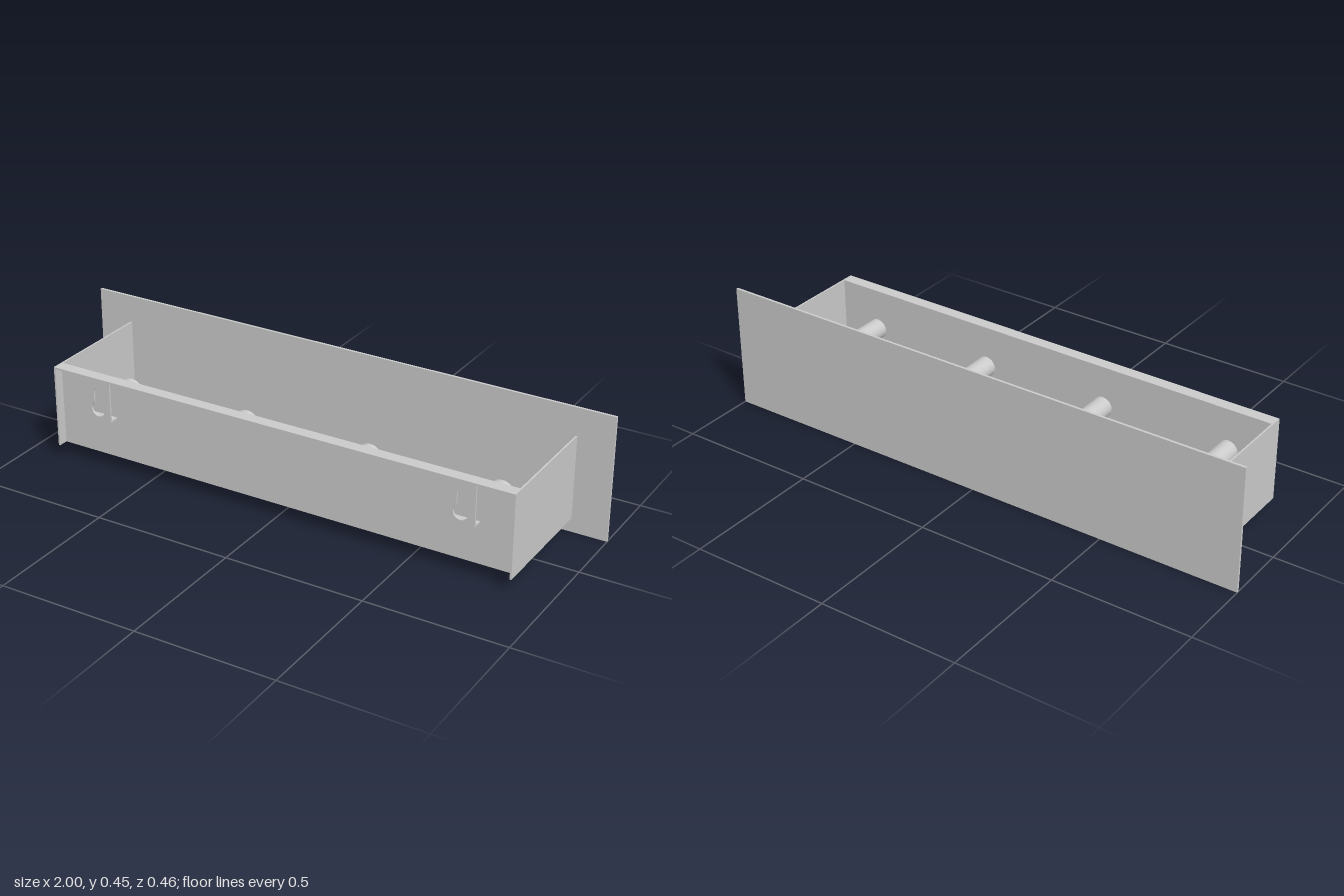
import * as THREE from 'three';

const T = 0.007; // sheet thickness

export function createModel() {
  const model = new THREE.Group();
  const material = new THREE.MeshStandardMaterial({ color: 0xcccccc });

  const add = (name, geometry) => {
    const mesh = new THREE.Mesh(geometry, material);
    mesh.name = name;
    model.add(mesh);
    return mesh;
  };
  // Box given by its min and max corners
  const box = (name, [x0, y0, z0], [x1, y1, z1]) =>
    add(name, new THREE.BoxGeometry(x1 - x0, y1 - y0, z1 - z0))
      .position.set((x0 + x1) / 2, (y0 + y1) / 2, (z0 + z1) / 2);

  // Large plate and the shallow tray behind it
  box('facePlate', [-1, 0, -0.229], [1, 0.45, -0.22]);
  box('mountingPanel', [-0.866, 0.05, 0.186], [0.866, 0.35 - T, 0.186 + T]);
  box('topFlange', [-0.866, 0.35 - T, 0.186], [0.866, 0.35, 0.229]);
  for (const s of [-1, 1]) {
    const xs = [0.866 * s, 0.872 * s].sort((a, b) => a - b);
    box('sideWall', [xs[0], 0.05, -0.22], [xs[1], 0.35, 0.229]);
  }

  // Hanging tabs with keyhole slots, folded back to the panel at the foot
  const tab = new THREE.Shape([
    [-0.05, 0.195], [0.05, 0.195], [0.05, 0.35 - T], [-0.05, 0.35 - T],
  ].map(([x, y]) => new THREE.Vector2(x, y)));
  const R = 0.027, r = 0.015, cy = 0.236;
  const a = Math.acos(r / R); // where the slot meets the round opening
  const keyhole = new THREE.Path();
  keyhole.absarc(0, 0.3, r, 0, Math.PI, false);
  keyhole.absarc(0, cy, R, Math.PI - a, 2 * Math.PI + a, false);
  keyhole.closePath();
  tab.holes.push(keyhole);
  for (const x of [-0.69, 0.69]) {
    const geometry = new THREE.ExtrudeGeometry(tab, { depth: T, bevelEnabled: false, curveSegments: 20 });
    add('keyholeTab', geometry).position.set(x, 0, 0.229 - T);
    box('tabFoot', [x - 0.05, 0.195, 0.186 + T], [x + 0.05, 0.195 + T, 0.229 - T]);
  }

  // Four lamp holders with a collar at the free end
  for (const x of [-0.718, -0.239, 0.239, 0.718]) {
    const body = add('lampHolder', new THREE.CylinderGeometry(0.036, 0.036, 0.172, 40));
    body.rotation.x = Math.PI / 2;
    body.position.set(x, 0.2, 0.101);
    const collar = add('holderCollar', new THREE.CylinderGeometry(0.048, 0.048, 0.022, 40));
    collar.rotation.x = Math.PI / 2;
    collar.position.set(x, 0.2, 0.005);
  }
  return model;
}
